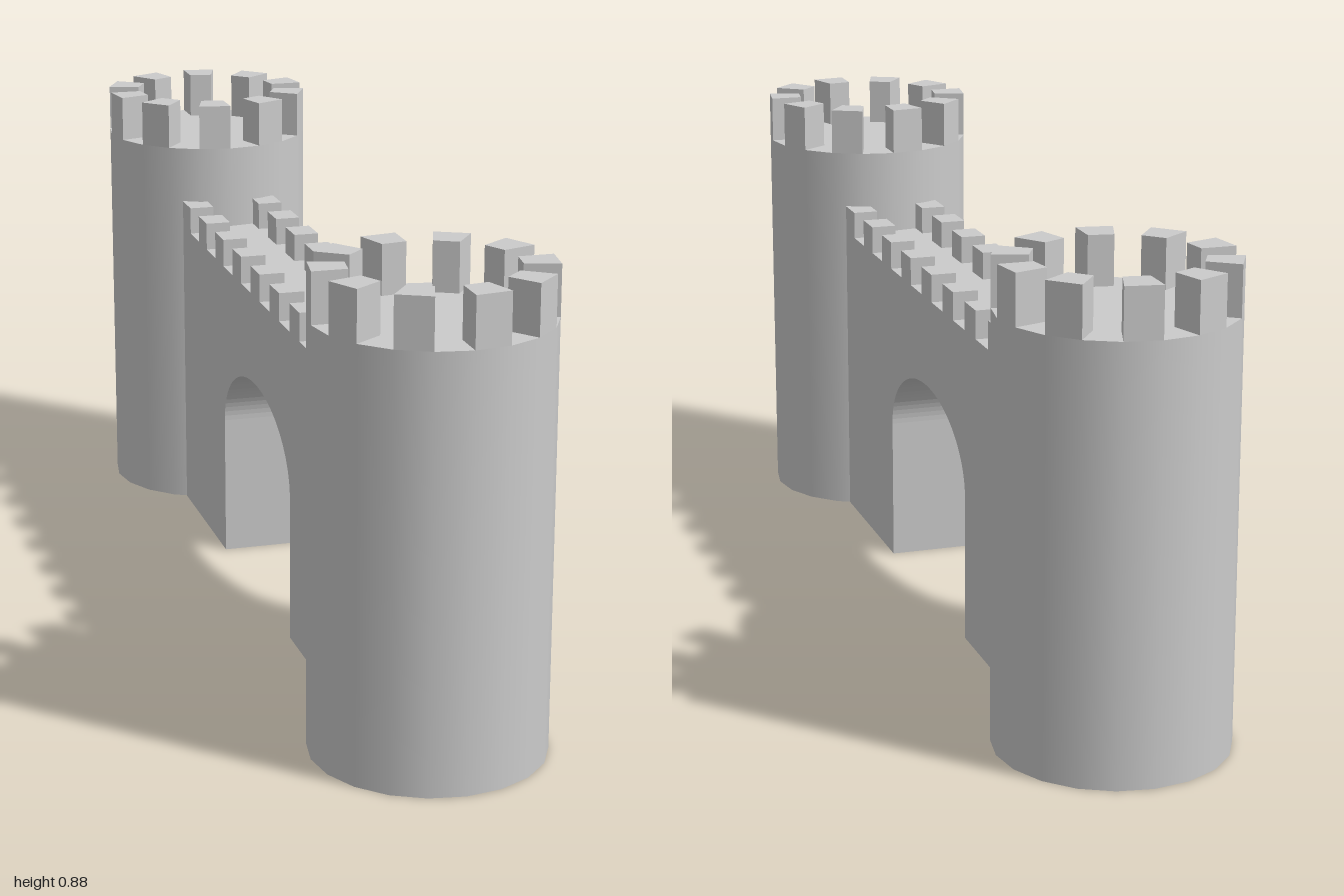
import * as THREE from 'three';

const material = new THREE.MeshStandardMaterial({ color: 0xcccccc });

const TOWER = { radius: 0.213, inner: 0.149, z: 0.787, floor: 0.785, top: 0.877, sides: 20 };
const WALL = { half: 0.1, end: 0.6, top: 0.615, merlonTop: 0.67, archHalf: 0.25, spring: 0.285, archTop: 0.437 };

function addMesh(parent, name, geometry) {
  const mesh = new THREE.Mesh(geometry, material);
  mesh.name = name;
  parent.add(mesh);
  return mesh;
}

// Round tower with a ring of wedge-shaped merlons on every other side; s mirrors it in z
function createTower(name, s) {
  const tower = new THREE.Group();
  tower.name = name;
  tower.position.z = s * TOWER.z;

  const body = new THREE.CylinderGeometry(TOWER.radius, TOWER.radius, TOWER.floor, TOWER.sides);
  addMesh(tower, 'towerBody', body).position.y = TOWER.floor / 2;

  const step = (Math.PI * 2) / TOWER.sides;
  const corner = (r, a) => new THREE.Vector2(r * Math.sin(a), -s * r * Math.cos(a));
  for (let i = 0; i < TOWER.sides; i += 2) {
    const a = i * step, b = a + step;
    const shape = new THREE.Shape([
      corner(TOWER.inner, a), corner(TOWER.radius, a),
      corner(TOWER.radius, b), corner(TOWER.inner, b),
    ]);
    const wedge = new THREE.ExtrudeGeometry(shape, { depth: TOWER.top - TOWER.floor, bevelEnabled: false });
    wedge.rotateX(-Math.PI / 2);
    addMesh(tower, 'towerMerlon', wedge).position.y = TOWER.floor;
  }
  return tower;
}

// Wall with an arched gateway, extruded across its thickness
function createWall() {
  const wall = new THREE.Group();
  wall.name = 'wall';

  const { half, end, top, merlonTop, archHalf, spring, archTop } = WALL;
  const shape = new THREE.Shape();
  shape.moveTo(-end, 0);
  shape.lineTo(-archHalf, 0);
  shape.lineTo(-archHalf, spring);
  shape.absellipse(0, spring, archHalf, archTop - spring, Math.PI, 0, true);
  shape.lineTo(archHalf, 0);
  shape.lineTo(end, 0);
  shape.lineTo(end, top);
  shape.lineTo(-end, top);
  shape.closePath();
  const body = new THREE.ExtrudeGeometry(shape, { depth: half * 2, bevelEnabled: false, curveSegments: 24 });
  body.translate(0, 0, -half);
  body.rotateY(Math.PI / 2);
  addMesh(wall, 'archedWall', body);

  // Two rows of square merlons along the walkway
  const merlon = new THREE.BoxGeometry(0.05, merlonTop - top, 0.068);
  for (const side of [-1, 1]) {
    for (let i = -4; i <= 4; i++) {
      addMesh(wall, 'wallMerlon', merlon)
        .position.set(side * (half - 0.025), (top + merlonTop) / 2, i * 0.1415);
    }
  }
  return wall;
}

export function createModel() {
  const model = new THREE.Group();
  model.name = 'castleGate';
  model.add(createTower('frontTower', 1), createTower('backTower', -1), createWall());
  return model;
}
